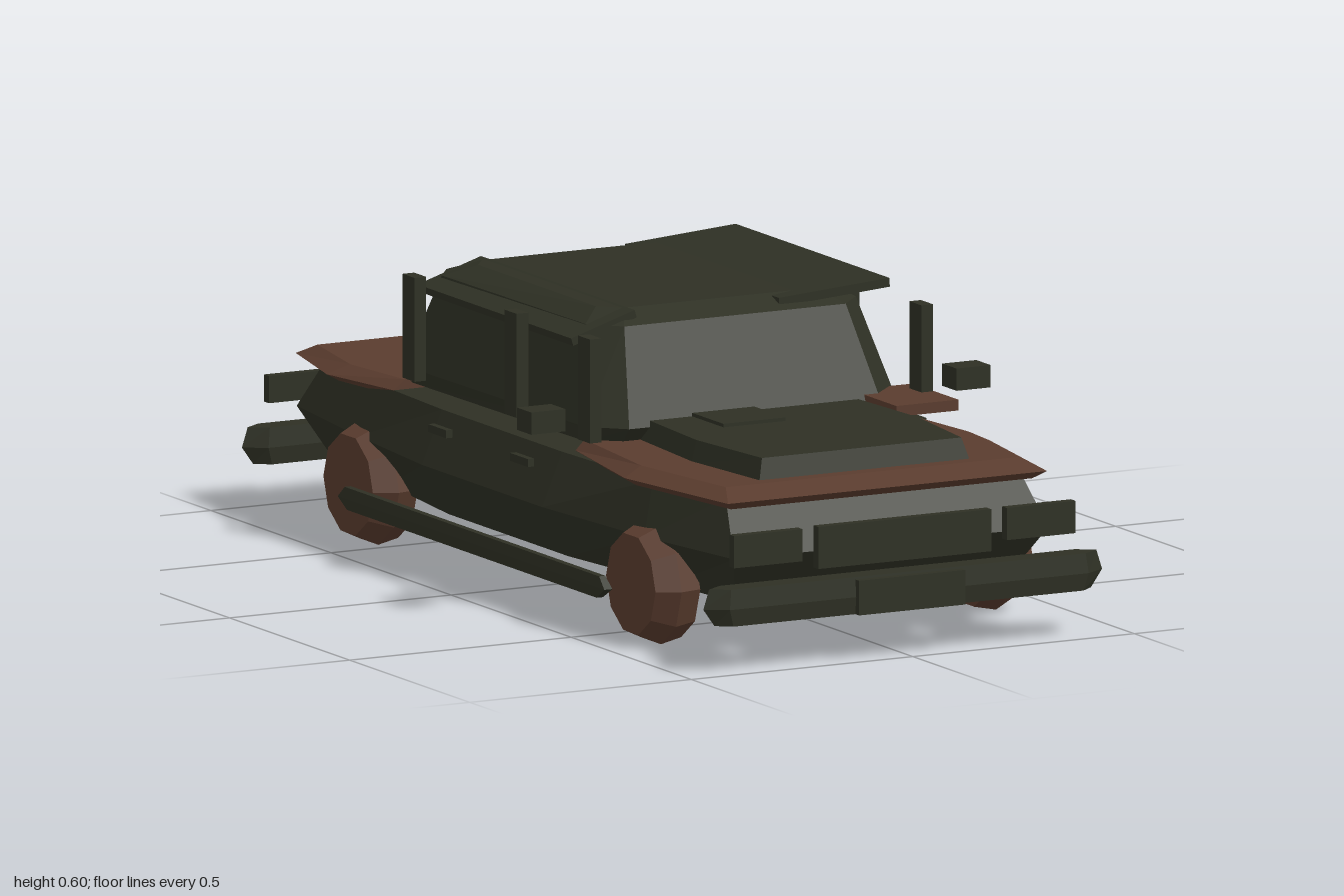
import * as THREE from 'three';

const dark = new THREE.MeshStandardMaterial({ color: 0x2e3024, flatShading: true });
dark.name = 'dark olive';
const brown = new THREE.MeshStandardMaterial({ color: 0x5a3c2e, flatShading: true });
brown.name = 'rust brown';

// Flat-sided solid from stacked outlines. Each ring is [y, half outline of [x, z] from front to back].
function loft(rings) {
  const loops = rings.map(([y, half]) => [
    ...half.map(([x, z]) => new THREE.Vector3(x, y, z)),
    ...half.slice().reverse().map(([x, z]) => new THREE.Vector3(-x, y, z)),
  ]);
  const pts = [];
  const n = loops[0].length;
  for (let r = 0; r < loops.length - 1; r++) {
    const a = loops[r], b = loops[r + 1];
    for (let i = 0; i < n; i++) {
      const j = (i + 1) % n;
      pts.push(a[i], a[j], b[j], a[i], b[j], b[i]);
    }
  }
  const low = loops[0], high = loops[loops.length - 1];
  for (let i = 1; i < n - 1; i++) {
    pts.push(high[0], high[i], high[i + 1], low[0], low[i + 1], low[i]);
  }
  const g = new THREE.BufferGeometry().setFromPoints(pts);
  g.computeVertexNormals();
  return g;
}

export function createModel() {
  const model = new THREE.Group();
  model.name = 'car';

  const add = (name, geometry, material, x = 0, y = 0, z = 0) => {
    const m = new THREE.Mesh(geometry, material);
    m.name = name;
    m.position.set(x, y, z);
    model.add(m);
    return m;
  };
  const box = (name, material, w, h, d, x, y, z) =>
    add(name, new THREE.BoxGeometry(w, h, d), material, x, y, z);

  // Lower body with a sharp waist
  add('hull', loft([
    [0.12, [[0.31, 0.83], [0.33, 0.6], [0.37, 0.25], [0.37, -0.25], [0.33, -0.57], [0.31, -0.83]]],
    [0.225, [[0.355, 0.91], [0.4, 0.62], [0.43, 0.25], [0.43, -0.25], [0.4, -0.57], [0.355, -0.91]]],
    [0.333, [[0.33, 0.83], [0.37, 0.6], [0.385, 0.25], [0.385, -0.25], [0.37, -0.57], [0.33, -0.83]]],
  ]), dark);

  // Front and rear decks
  add('frontDeck', loft([
    [0.318, [[0.34, 0.87], [0.385, 0.56], [0.34, 0.26]]],
    [0.335, [[0.36, 0.895], [0.412, 0.56], [0.36, 0.26]]],
    [0.355, [[0.33, 0.83], [0.37, 0.55], [0.34, 0.26]]],
  ]), brown);
  add('rearDeck', loft([
    [0.318, [[0.36, -0.47], [0.385, -0.68], [0.34, -0.88]]],
    [0.333, [[0.375, -0.47], [0.412, -0.68], [0.36, -0.905]]],
    [0.353, [[0.35, -0.47], [0.37, -0.66], [0.33, -0.87]]],
  ]), brown);

  // Raised hood with a small panel, and a plate beside it
  add('hood', loft([
    [0.35, [[0.238, 0.8], [0.262, 0.56], [0.24, 0.26]]],
    [0.397, [[0.225, 0.787], [0.25, 0.56], [0.23, 0.26]]],
  ]), dark);
  box('hoodPanel', dark, 0.14, 0.008, 0.13, -0.07, 0.4, 0.405);
  box('cowlPlate', brown, 0.14, 0.022, 0.19, 0.32, 0.393, 0.375);

  // Tapered cabin
  add('cabin', loft([
    [0.352, [[0.28, 0.31], [0.34, 0.26], [0.35, -0.44], [0.31, -0.48]]],
    [0.385, [[0.285, 0.345], [0.35, 0.28], [0.362, -0.44], [0.325, -0.51]]],
    [0.575, [[0.25, 0.26], [0.305, 0.2], [0.315, -0.38], [0.275, -0.435]]],
    [0.6, [[0.22, 0.2], [0.26, 0.16], [0.26, -0.33], [0.23, -0.37]]],
  ]), dark);

  // Tilted plates along the roof edges
  box('leftRoofPlate', dark, 0.25, 0.018, 0.64, 0.235, 0.596, -0.08).rotation.z = 0.07;
  box('rightRoofPlate', dark, 0.15, 0.016, 0.64, -0.285, 0.572, -0.08).rotation.z = 0.3;

  // Bumpers, plates and lamps at both ends
  const bumper = loft([
    [0.105, [[0.395, 0.024], [0.425, 0], [0.395, -0.024]]],
    [0.14, [[0.405, 0.028], [0.45, 0], [0.405, -0.028]]],
    [0.18, [[0.4, 0.024], [0.437, 0], [0.4, -0.024]]],
  ]);
  add('frontBumper', bumper, dark, 0, 0, 0.958);
  add('rearBumper', bumper, dark, 0, 0, -0.963);
  box('frontPlate', dark, 0.24, 0.07, 0.016, 0, 0.14, 0.99);
  box('rearPlate', dark, 0.23, 0.05, 0.012, 0, 0.175, -0.994);
  box('grille', dark, 0.39, 0.085, 0.02, 0, 0.243, 0.957);

  // Ten-sided wheel with a ridged tread
  const wheel = new THREE.LatheGeometry(
    [[0, -0.047], [0.103, -0.047], [0.126, 0], [0.116, 0.047], [0, 0.047]]
      .map(([r, h]) => new THREE.Vector2(r, h)), 10);
  wheel.rotateZ(Math.PI / 2);

  // Long bar below each door
  const bar = loft([
    [0.09, [[0.007, 0.52], [0.007, -0.52]]],
    [0.112, [[0.009, 0.555], [0.009, -0.555]]],
    [0.135, [[0.007, 0.53], [0.007, -0.53]]],
  ]);

  // Parts repeated on both sides
  for (const [side, s] of [['left', 1], ['right', -1]]) {
    for (const [end, z] of [['Front', 0.61], ['Rear', -0.567]]) {
      const w = add(side + end + 'Wheel', wheel, brown, s * 0.378, 0.131, z);
      if (s < 0) w.rotation.y = Math.PI;
    }
    add(side + 'SideBar', bar, dark, s * 0.446, 0, 0);
    box(side + 'Headlamp', dark, 0.155, 0.065, 0.02, s * 0.308, 0.252, 0.957);
    box(side + 'TailLamp', dark, 0.165, 0.055, 0.02, s * 0.315, 0.255, -0.957);
    for (const z of [0.345, 0.04, -0.385]) {
      box(side + 'Pillar', dark, 0.026, 0.21, 0.05, s * 0.374, 0.475, z);
    }
    box(side + 'Mirror', dark, 0.077, 0.045, 0.06, s * 0.48, 0.422, 0.338);
    for (const z of [0.19, -0.15]) {
      box(side + 'DoorHandle', dark, 0.014, 0.016, 0.075, s * 0.443, 0.312, z);
    }
  }

  return model;
}
